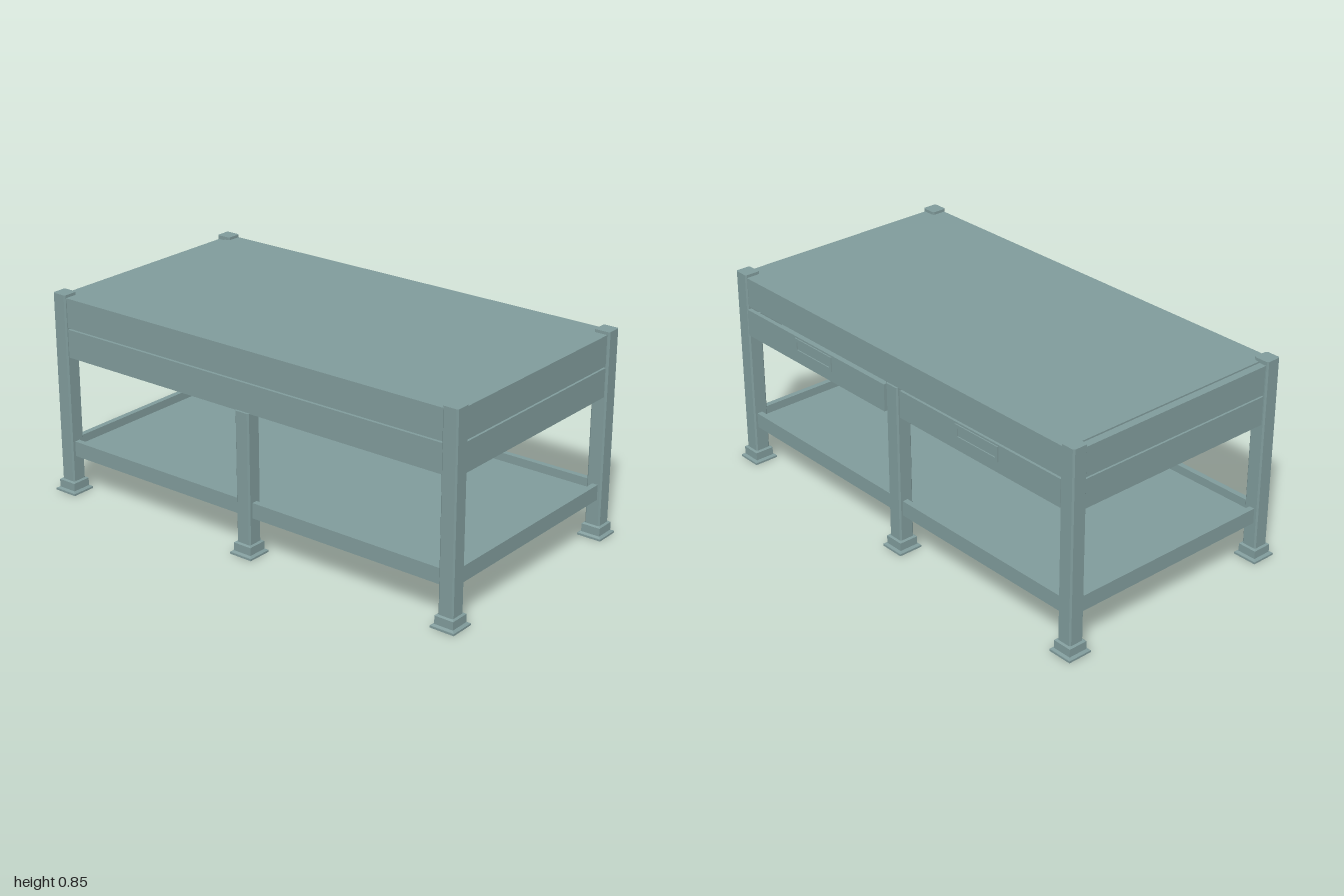
import * as THREE from 'three';

const mat = new THREE.MeshStandardMaterial({ color: 0x7f9a9a, flatShading: true });

function add(parent, name, geometry, x = 0, y = 0, z = 0) {
  const mesh = new THREE.Mesh(geometry, mat);
  mesh.name = name;
  mesh.position.set(x, y, z);
  parent.add(mesh);
  return mesh;
}

// Box given by its minimum and maximum on each axis
function block(parent, name, x0, x1, y0, y1, z0, z1) {
  return add(parent, name, new THREE.BoxGeometry(x1 - x0, y1 - y0, z1 - z0),
    (x0 + x1) / 2, (y0 + y1) / 2, (z0 + z1) / 2);
}

// Square post with narrow chamfers on its upright edges
function postGeometry(w, h, c = 0.006) {
  const a = w / 2, b = a - c;
  const points = [[-b, -a], [b, -a], [a, -b], [a, b], [b, a], [-b, a], [-a, b], [-a, -b]];
  const shape = new THREE.Shape(points.map(([x, y]) => new THREE.Vector2(x, y)));
  return new THREE.ExtrudeGeometry(shape, { depth: h, bevelEnabled: false }).rotateX(-Math.PI / 2);
}

// Four-sided frustum with square ends
function frustum(top, bottom, h) {
  return new THREE.CylinderGeometry(top * Math.SQRT1_2, bottom * Math.SQRT1_2, h, 4).rotateY(Math.PI / 4);
}

function leg(parent, name, x, z, height) {
  const group = new THREE.Group();
  group.name = name;
  group.position.set(x, 0, z);
  add(group, 'post', postGeometry(0.066, height - 0.01), 0, 0.01, 0);
  add(group, 'footPlate', new THREE.BoxGeometry(0.105, 0.008, 0.105), 0, 0.004, 0);
  add(group, 'footFlare', frustum(0.084, 0.098, 0.006), 0, 0.011, 0);
  add(group, 'footCup', new THREE.BoxGeometry(0.082, 0.034, 0.082), 0, 0.03, 0);
  add(group, 'footCollar', frustum(0.068, 0.082, 0.005), 0, 0.0495, 0);
  parent.add(group);
}

// Slim frame with a finger slot, lying in the xy plane
function pullGeometry(w, h, depth) {
  const rect = (T, a, b) => new T([[-a, -b], [a, -b], [a, b], [-a, b]].map(([x, y]) => new THREE.Vector2(x, y)));
  const shape = rect(THREE.Shape, w / 2, h / 2);
  shape.holes.push(rect(THREE.Path, w / 2 - 0.012, h / 2 - 0.014));
  return new THREE.ExtrudeGeometry(shape, { depth, bevelEnabled: false });
}

function drawer(parent, name, side, out) {
  const group = new THREE.Group();
  group.name = name;
  group.position.set(side * 0.473, 0, -out);
  block(group, 'drawerFront', -0.434, 0.434, 0.592, 0.706, -0.512, -0.494);
  block(group, 'drawerBottom', -0.405, 0.405, 0.6, 0.61, -0.494, 0.41);
  for (const s of [-1, 1]) {
    add(group, 'drawerSide', new THREE.BoxGeometry(0.01, 0.09, 0.904), s * 0.4, 0.65, -0.042);
    add(group, 'slide', new THREE.BoxGeometry(0.012, 0.03, 0.88), s * 0.413, 0.64, -0.04);
  }
  block(group, 'drawerBack', -0.405, 0.405, 0.605, 0.695, 0.4, 0.41);
  add(group, 'pull', pullGeometry(0.23, 0.062, 0.006), 0, 0.668, -0.517);
  parent.add(group);
}

export function createModel() {
  const model = new THREE.Group();
  model.name = 'workbench';

  // Corner legs stand proud of the top; middle legs end under the frame
  for (const z of [0.489, -0.487]) {
    for (const x of [-0.946, 0.945]) leg(model, 'cornerLeg', x, z, 0.852);
    leg(model, 'middleLeg', 0, z, z > 0 ? 0.592 : 0.715);
  }

  // Table top, with a lower strip along its right edge
  const top = new THREE.Group();
  top.name = 'tableTop';
  block(top, 'topPanel', -0.935, 0.968, 0.83, 0.84, -0.515, 0.515);
  block(top, 'edgeStrip', -0.97, -0.938, 0.826, 0.836, -0.515, 0.515);
  block(top, 'topCore', -0.95, 0.95, 0.715, 0.83, -0.5, 0.5);
  model.add(top);

  // Upper boards all round, lower boards on the front and both ends
  const apron = new THREE.Group();
  apron.name = 'apron';
  for (const [y0, y1] of [[0.715, 0.83], [0.59, 0.708]]) {
    block(apron, 'frontBoard', -0.914, 0.914, y0, y1, 0.494, 0.512);
    if (y0 > 0.7) block(apron, 'backBoard', -0.914, 0.914, y0, y1, -0.512, -0.494);
    for (const s of [-1, 1]) {
      add(apron, 'endBoard', new THREE.BoxGeometry(0.018, y1 - y0, 0.92), s * 0.959, (y0 + y1) / 2, 0);
    }
  }
  block(apron, 'frontBacking', -0.914, 0.914, 0.6, 0.72, 0.485, 0.5);
  block(apron, 'frontFlange', -0.914, 0.914, 0.588, 0.594, 0.465, 0.5);
  for (const s of [-1, 1]) {
    add(apron, 'endBacking', new THREE.BoxGeometry(0.016, 0.12, 0.92), s * 0.945, 0.66, 0);
    add(apron, 'endFlange', new THREE.BoxGeometry(0.035, 0.006, 0.92), s * 0.935, 0.591, 0);
  }
  block(apron, 'middleRunner', -0.012, 0.012, 0.615, 0.715, -0.46, 0.49);
  model.add(apron);

  // Drawers open to the back, the left one slightly pulled out
  drawer(model, 'leftDrawer', 1, 0.012);
  drawer(model, 'rightDrawer', -1, 0);

  // Lower shelf set inside a rail frame
  const shelf = new THREE.Group();
  shelf.name = 'shelf';
  block(shelf, 'shelfPanel', -0.945, 0.945, 0.172, 0.19, -0.49, 0.49);
  for (const s of [-1, 1]) {
    add(shelf, 'longRail', new THREE.BoxGeometry(1.83, 0.064, 0.024), 0, 0.193, s * 0.493);
    add(shelf, 'longRailLip', new THREE.BoxGeometry(1.83, 0.006, 0.03), 0, 0.164, s * 0.49);
    add(shelf, 'endRail', new THREE.BoxGeometry(0.024, 0.064, 0.92), s * 0.95, 0.193, 0);
    add(shelf, 'endRailLip', new THREE.BoxGeometry(0.03, 0.006, 0.92), s * 0.947, 0.164, 0);
  }
  model.add(shelf);

  return model;
}
